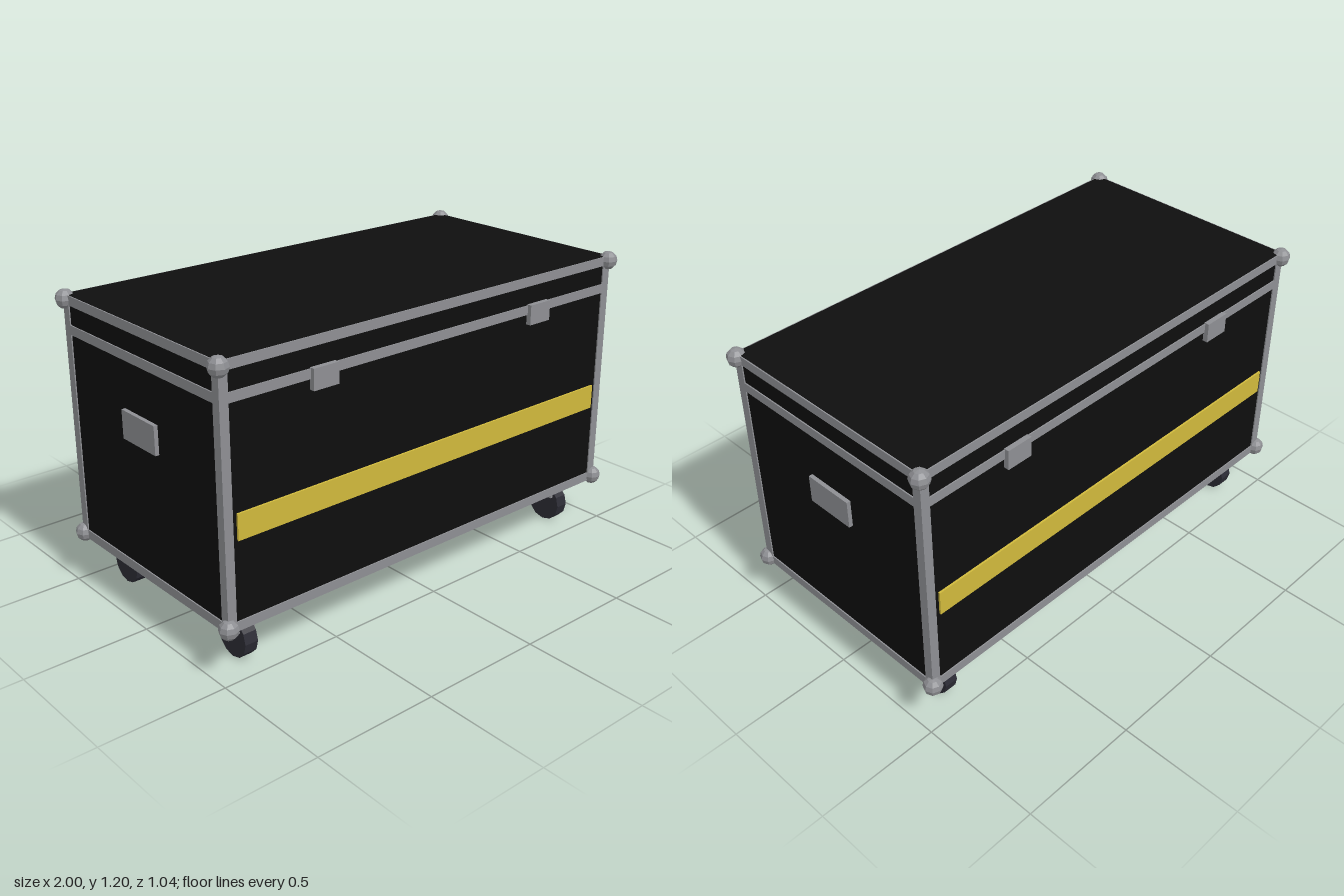
import * as THREE from 'three';

const mat = (name, color, flatShading = false) => {
  const m = new THREE.MeshStandardMaterial({ color, flatShading });
  m.name = name;
  return m;
};

export function createModel() {
  const model = new THREE.Group();
  model.name = 'flightCase';
  const black = mat('black panel', 0x0e0e0e);
  const metal = mat('grey metal', 0x8e8f93, true);
  const yellow = mat('yellow stripe', 0xd0b93c);
  const rubber = mat('dark rubber', 0x2c2c35, true);

  const add = (name, geometry, material, x, y, z, parent = model) => {
    const mesh = new THREE.Mesh(geometry, material);
    mesh.name = name;
    mesh.position.set(x, y, z);
    parent.add(mesh);
    return mesh;
  };
  const box = (name, w, h, d, material, x, y, z, parent) =>
    add(name, new THREE.BoxGeometry(w, h, d), material, x, y, z, parent);

  const X = 0.962, Z = 0.481;   // half size of the body
  const BOTTOM = 0.188, TOP = 1.18;
  const P = 0.005;              // how far the trim stands proud
  const W = 0.037;              // trim width

  // Panelled body
  box('body', X * 2, TOP - BOTTOM, Z * 2, black, 0, (TOP + BOTTOM) / 2, 0);

  // Horizontal rails on all four sides: bottom edge, lid seam, top edge
  const rails = { bottomRail: 0.2075, seamRail: 1.0475, topRail: 1.1605 };
  for (const [name, y] of Object.entries(rails)) {
    for (const s of [-1, 1]) {
      box(name, X * 2, W, P, metal, 0, y, s * (Z + P / 2));
      box(name, P, W, Z * 2, metal, s * (X + P / 2), y, 0);
    }
  }

  for (const sx of [-1, 1]) {
    for (const sz of [-1, 1]) {
      // Angled corner post
      box('cornerPost', W, TOP - BOTTOM - 0.002, W, metal,
        sx * (X + P - W / 2), (TOP + BOTTOM) / 2, sz * (Z + P - W / 2));

      // Ball corners
      for (const y of [0.207, 1.16]) {
        add('ballCorner', new THREE.SphereGeometry(0.038, 8, 6), metal, sx * X, y, sz * Z);
      }

      // Caster: plate, fork block and wheel
      const caster = new THREE.Group();
      caster.name = 'caster';
      caster.position.set(sx * 0.835, 0, sz * 0.355);
      model.add(caster);
      box('casterPlate', 0.16, 0.01, 0.16, metal, 0, 0.184, 0, caster);
      box('casterFork', 0.08, 0.065, 0.096, metal, 0, 0.1475, 0, caster);
      const wheel = new THREE.CylinderGeometry(0.08, 0.08, 0.055, 12).rotateZ(Math.PI / 2);
      add('wheel', wheel, rubber, 0, 0.08, 0, caster);

      // Lid latch
      box('latch', 0.11, 0.08, 0.022, metal, sx * 0.538, 1.03, sz * 0.491);
    }
    // Side handle plate
    box('handlePlate', 0.018, 0.112, 0.208, metal, sx * 0.969, 0.787, 0);
    // Stripe along the front and back
    box('stripe', 1.826, 0.1, 0.008, yellow, 0, 0.583, sx * 0.485);
  }

  return model;
}
